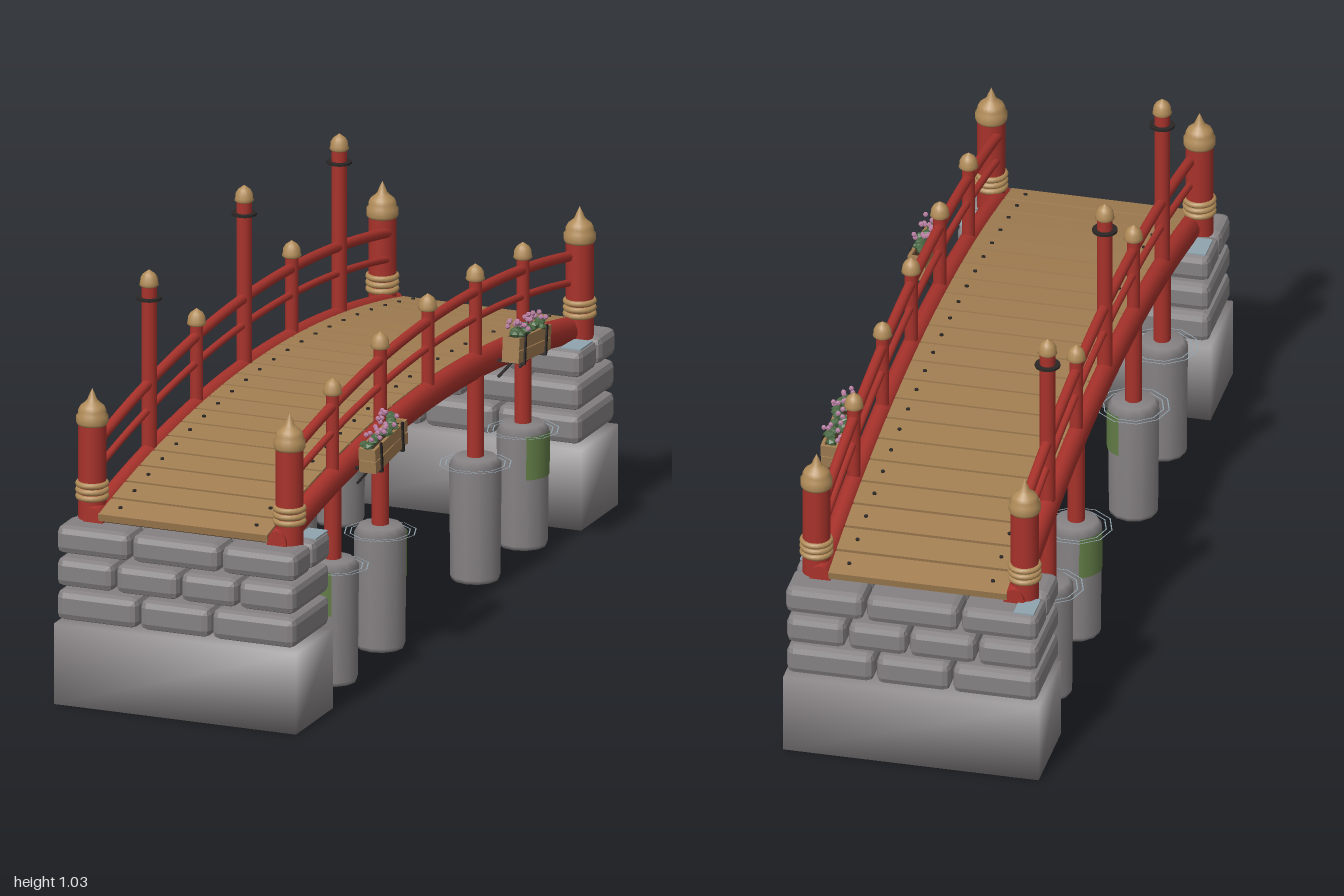
import * as THREE from 'three';
import { mergeVertices } from 'three/addons/utils/BufferGeometryUtils.js';
import { RoundedBoxGeometry } from 'three/addons/geometries/RoundedBoxGeometry.js';

const paint = (name, color, side = THREE.FrontSide) => {
  const m = new THREE.MeshStandardMaterial({ color, side });
  m.name = name;
  return m;
};

const CX = -0.009;   // bridge centre line
const SIDE = 0.24;   // rail offset from the centre line
const drop = z => 0.12 * z * z;   // how far the arch falls at z

export function createModel() {
  const red = paint('red lacquer', 0xa8322b);
  const stone = paint('grey stone', 0x858183);
  const wood = paint('plank wood', 0xa27e52);
  const gold = paint('ochre cap', 0xb08b58);
  const iron = paint('dark iron', 0x2a2725);
  const under = paint('dark underside', 0x3a2a1c);
  const moss = paint('moss', 0x627c46, THREE.DoubleSide);
  const leaf = paint('foliage', 0x4a6844);
  const petal = paint('pink petals', 0xb87fa2);
  const wet = paint('pale water', 0x90a3ad, THREE.DoubleSide);

  const model = new THREE.Group();
  model.name = 'archedBridge';
  const add = (name, geo, mat, x = 0, y = 0, z = 0, parent = model) => {
    const mesh = new THREE.Mesh(geo, mat);
    mesh.name = name;
    mesh.position.set(x, y, z);
    parent.add(mesh);
    return mesh;
  };
  const group = (name, x, y, z) => {
    const g = new THREE.Group();
    g.name = name;
    g.position.set(x, y, z);
    model.add(g);
    return g;
  };
  const lathe = (pts, n = 16) => new THREE.LatheGeometry(pts.map(p => new THREE.Vector2(...p)), n);
  const bend = geo => {
    const p = geo.attributes.position;
    for (let i = 0; i < p.count; i++) p.setY(i, p.getY(i) - drop(p.getZ(i)));
    geo.computeVertexNormals();
    return geo;
  };
  const archRod = (rx, ry, length) =>
    bend(new THREE.CylinderGeometry(1, 1, length, 14, 28).rotateX(Math.PI / 2).scale(rx, ry, 1));

  // Abutments: smooth-shaded footing with three courses of chamfered stones
  const footing = new THREE.BoxGeometry(0.633, 0.203, 0.23);
  footing.deleteAttribute('normal');
  footing.deleteAttribute('uv');
  const softFooting = mergeVertices(footing);
  softFooting.computeVertexNormals();
  const courses = [
    { y: 0.25, h: 0.076, cuts: [-0.325, -0.107, 0.082, 0.305], rows: [[0.77, 1]] },
    { y: 0.333, h: 0.072, cuts: [-0.325, -0.17, 0, 0.152, 0.305], rows: [[0.77, 1]] },
    { y: 0.415, h: 0.07, cuts: [-0.325, -0.128, 0.107, 0.308], rows: [[0.77, 0.885], [0.89, 1]] },
  ];
  for (const s of [1, -1]) {
    add('abutmentFooting', softFooting, stone, CX, 0.1015, s * 0.885);
    for (const { y, h, cuts, rows } of courses)
      for (const [z0, z1] of rows)
        for (let i = 0; i < cuts.length - 1; i++) {
          const w = cuts[i + 1] - cuts[i] - 0.006;
          const geo = new RoundedBoxGeometry(w, h, z1 - z0, 1, 0.018);
          geo.computeVertexNormals();
          add('abutmentStone', geo, stone, (cuts[i] + cuts[i + 1]) / 2, y, s * (z0 + z1) / 2);
        }
  }
  // Pale wet patches on the upper stones
  for (const [x, z] of [[-0.285, 0.82], [0.275, 0.82], [-0.285, -0.95], [0.275, -0.82]])
    add('wetPatch', new THREE.BoxGeometry(0.05, 0.004, 0.075), wet, x, 0.451, z);

  // Deck: curved underside, planks that follow the arch, and nails
  add('deckUnderside', bend(new THREE.BoxGeometry(0.425, 0.006, 1.87, 1, 1, 30)), under, CX - 0.003, 0.561, 0);
  const plank = new THREE.BoxGeometry(0.442, 0.019, 0.08);
  const nail = new THREE.CylinderGeometry(0.005, 0.005, 0.004, 8);
  const step = 0.0862;
  for (let i = 0; i < 22; i++) {
    const z = (i - 10.5) * step;
    const g = group('plankRow', CX - 0.003, 0.573 - drop(z), z);
    g.rotation.x = Math.atan(0.24 * z);
    add('plank', plank, wood, 0, 0, 0, g);
    for (const s of [1, -1]) add('nail', nail, iron, s * 0.178, 0.011, 0, g);
  }

  // Arched side beams and rails
  for (const s of [1, -1]) {
    const x = CX + s * SIDE;
    add('sideBeam', archRod(0.026, 0.035, 1.88), red, x, 0.558, 0);
    add('middleRail', archRod(0.009, 0.009, 1.8), red, x, 0.678, 0);
    add('topRail', archRod(0.013, 0.013, 1.8), red, x, 0.745, 0);
  }

  // Corner posts with rope bands and pointed caps
  const cornerCap = lathe([[0, 0], [0.036, 0], [0.039, 0.006], [0.039, 0.022], [0.034, 0.026], [0.034, 0.036],
    [0.029, 0.046], [0.018, 0.055], [0.012, 0.062], [0.007, 0.075], [0, 0.09]], 20);
  const band = new THREE.TorusGeometry(0.034, 0.0075, 8, 20).rotateX(Math.PI / 2);
  for (const sx of [1, -1]) for (const sz of [1, -1]) {
    const g = group('cornerPost', CX + sx * 0.258, 0, sz * 0.9);
    add('cornerPostShaft', new THREE.CylinderGeometry(0.034, 0.034, 0.245, 20), red, 0, 0.5675, 0, g);
    add('cornerPostCap', cornerCap, gold, 0, 0.686, 0, g);
    for (const y of [0.505, 0.521, 0.537]) add('ropeBand', band, gold, 0, y, 0, g);
  }

  // Rail posts: three tall ones on the right side, short ones elsewhere
  const finial = lathe([[0, 0], [0.02, 0], [0.024, 0.004], [0.022, 0.01], [0.021, 0.021], [0.015, 0.031],
    [0.007, 0.037], [0, 0.042]], 14);
  const collar = new THREE.CylinderGeometry(0.031, 0.031, 0.006, 14);
  for (const s of [1, -1]) for (const z of [-0.59, -0.295, 0, 0.295, 0.59]) {
    const tall = s < 0 && Math.abs(z) !== 0.295;
    const top = 0.745 - drop(z) + (tall ? 0.243 : 0.028);
    const foot = 0.54 - drop(z);
    const g = group(tall ? 'tallRailPost' : 'shortRailPost', CX + s * SIDE, 0, z);
    const r = tall ? 0.019 : 0.016;
    add('railPostShaft', new THREE.CylinderGeometry(r, r, top - foot, 14), red, 0, (top + foot) / 2, 0, g);
    add('railPostFinial', finial, gold, 0, top, 0, g);
    if (tall) add('ironCollar', collar, iron, 0, top - 0.03, 0, g);
  }

  // Legs on stone piers with ripple rings, and cross beams between them
  const pier = lathe([[0, 0.01], [0.058, 0.01], [0.061, 0.02], [0.064, 0.3], [0.052, 0.318], [0, 0.32]], 12);
  for (const z of [-0.59, -0.295, 0.295, 0.59]) {
    for (const s of [1, -1]) {
      const g = group('pierAndLeg', CX + s * SIDE, 0, z);
      const top = 0.55 - drop(z);
      add('leg', new THREE.CylinderGeometry(0.021, 0.021, top - 0.3, 14), red, 0, (top + 0.3) / 2, 0, g);
      add('stonePier', pier, stone, 0, 0, 0, g);
      for (const r of [0.073, 0.087])
        add('rippleRing', new THREE.RingGeometry(r, r + 0.003, 10).rotateX(-Math.PI / 2), stone, 0, 0.3, 0, g)
          .material = wet;
    }
    add('crossBeam', new THREE.CylinderGeometry(0.018, 0.018, 2 * SIDE, 12).rotateZ(Math.PI / 2), red,
      CX, 0.535 - drop(z), z);
  }
  // Moss on the piers: side, z, start angle and sweep in degrees
  for (const [s, z, start, sweep] of [[1, 0.295, 95, 70], [1, -0.59, 30, 85], [-1, -0.295, 200, 70],
    [-1, 0.295, 90, 70], [1, 0.59, -50, 70], [-1, 0.59, -30, 70]]) {
    const rad = Math.PI / 180;
    add('mossPatch', new THREE.CylinderGeometry(0.0655, 0.0645, 0.11, 6, 1, true, start * rad, sweep * rad),
      moss, CX + s * SIDE, 0.245, z);
  }

  // Flower boxes hung on the left side
  let seed = 7;
  const rnd = () => (seed = (seed * 16807) % 2147483647) / 2147483647;
  const bloom = new THREE.IcosahedronGeometry(0.007, 0);
  const tuft = new THREE.IcosahedronGeometry(0.014, 0);
  for (const s of [1, -1]) {
    const g = group('flowerBox', 0.302, 0.568, s * 0.445);
    g.rotation.x = s * 0.108;
    for (const y of [-0.016, 0.016]) {
      for (const x of [-0.018, 0.018]) add('boxBoard', new THREE.BoxGeometry(0.008, 0.03, 0.2), wood, x, y, 0, g);
      for (const z of [-0.096, 0.096]) add('boxEnd', new THREE.BoxGeometry(0.028, 0.03, 0.008), wood, 0, y, z, g);
    }
    add('boxFloor', new THREE.BoxGeometry(0.036, 0.008, 0.19), wood, 0, -0.028, 0, g);
    add('soil', new THREE.BoxGeometry(0.03, 0.008, 0.186), under, 0, 0.018, 0, g);
    for (const z of [-0.066, 0.066]) {
      add('strap', new THREE.BoxGeometry(0.005, 0.075, 0.008), iron, 0.0235, 0, z, g);
      add('hanger', new THREE.BoxGeometry(0.075, 0.006, 0.008), iron, -0.012, -0.036, z, g);
      const brace = add('brace', new THREE.BoxGeometry(0.006, 0.055, 0.008), iron, -0.025, -0.055, z, g);
      brace.rotation.z = -0.7;
    }
    for (let i = 0; i < 16; i++) {
      const z = (i / 15 - 0.5) * 0.18;
      const clump = add('leafTuft', tuft, leaf, (rnd() - 0.5) * 0.034, 0.03 + rnd() * 0.012, z, g);
      clump.scale.y = 0.7;
      clump.rotation.y = rnd() * 6;
    }
    for (let i = 0; i < 22; i++)
      add('blossom', bloom, petal, (rnd() - 0.5) * 0.05, 0.046 + rnd() * 0.022, (rnd() - 0.5) * 0.19, g);
  }
  return model;
}
